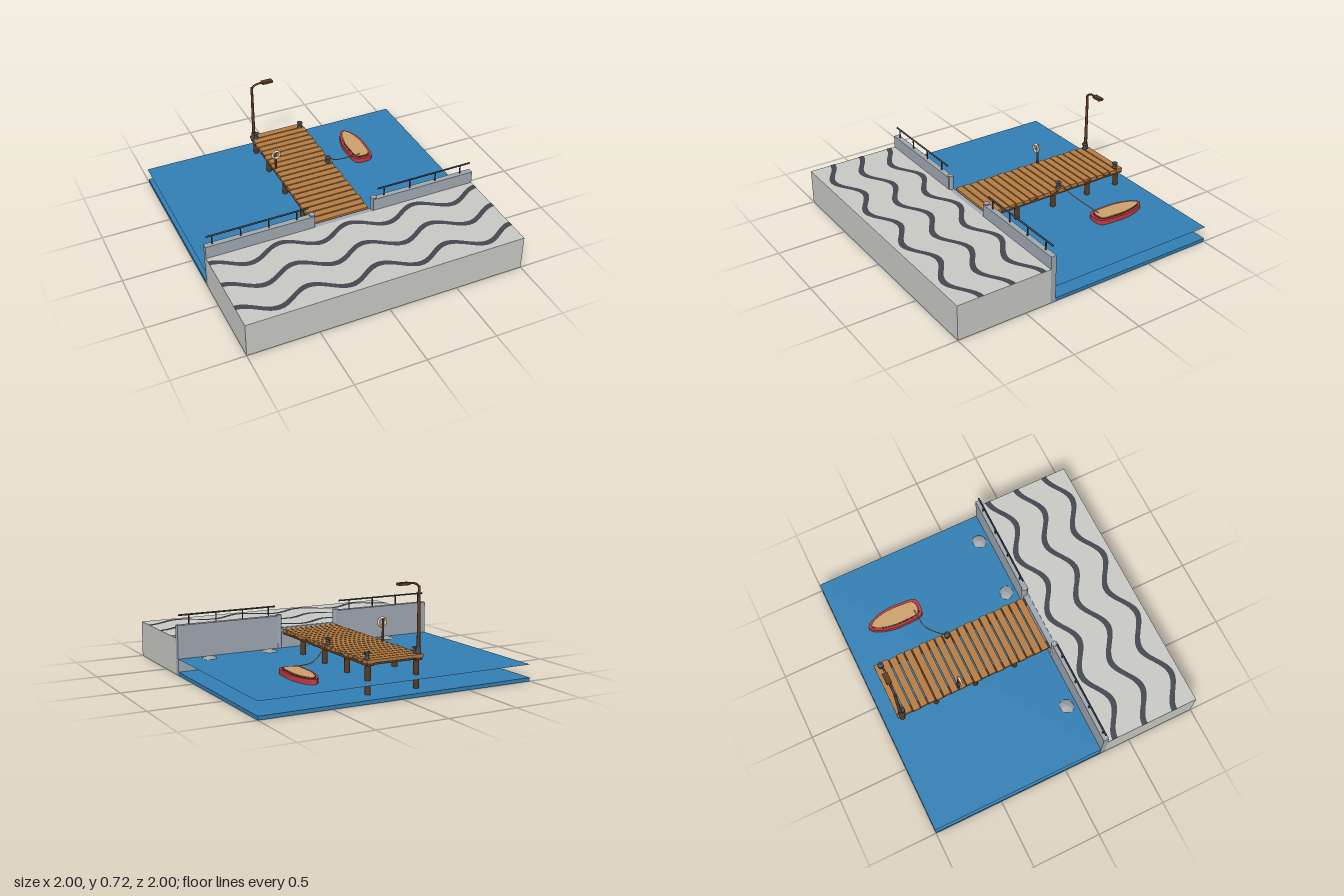
import * as THREE from 'three';

const mat = (name, color, extra = {}) => Object.assign(new THREE.MeshStandardMaterial({ color, ...extra }), { name });

export function createModel() {
  const model = new THREE.Group();
  model.name = 'harbourPier';
  const M = {
    paving: mat('paving', 0xc9c9c6),
    wall: mat('wall grey', 0xa0a8b1),
    iron: mat('dark iron', 0x434750, { side: THREE.DoubleSide }),
    water: mat('water blue', 0x3180b4, { side: THREE.DoubleSide }),
    plank: mat('plank wood', 0xb67c42),
    timber: mat('dark timber', 0x5b3a20),
    red: mat('boat red', 0xc23a42),
    tan: mat('tan', 0xcda26c),
    white: mat('white', 0xe8e4dc),
    rock: mat('rock grey', 0x9b9fa4, { flatShading: true }),
  };
  const add = (name, geo, material, x = 0, y = 0, z = 0, parent = model) => {
    const mesh = new THREE.Mesh(geo, material);
    mesh.name = name;
    mesh.position.set(x, y, z);
    parent.add(mesh);
    return mesh;
  };
  // Box given by its minimum and maximum corners
  const box = (name, m, x0, x1, y0, y1, z0, z1) =>
    add(name, new THREE.BoxGeometry(x1 - x0, y1 - y0, z1 - z0), m, (x0 + x1) / 2, (y0 + y1) / 2, (z0 + z1) / 2);
  // Upright cylinder standing on y0
  const column = (name, m, r, x, z, y0, y1, rTop = r, n = 12) =>
    add(name, new THREE.CylinderGeometry(rTop, r, y1 - y0, n), m, x, (y0 + y1) / 2, z);
  const tube = (name, m, r, pts, n = 20) =>
    add(name, new THREE.TubeGeometry(new THREE.CatmullRomCurve3(pts.map(p => new THREE.Vector3(...p))), n, r, 8), m);

  // Promenade, sea bed slab and water surface
  box('promenade', M.paving, -1, 1, 0, 0.255, 0.31, 1);
  box('seaBed', M.water, -1, 1, 0, 0.025, -1, 0.27);
  add('waterSurface', new THREE.PlaneGeometry(2, 1.27).rotateX(-Math.PI / 2), M.water, 0, 0.115, -0.365);

  // Wavy paving bands
  for (const zc of [0.42, 0.652, 0.884]) {
    const pts = [], N = 96;
    const wave = x => zc - 0.055 * Math.cos(4 * Math.PI * x);
    for (let i = 0; i <= N; i++) {
      const x = -1 + (2 * i) / N;
      pts.push(new THREE.Vector2(x, -wave(x) + 0.021));
    }
    for (let i = N; i >= 0; i--) {
      const x = -1 + (2 * i) / N;
      pts.push(new THREE.Vector2(x, -wave(x) - 0.021));
    }
    add('wavyBand', new THREE.ShapeGeometry(new THREE.Shape(pts)).rotateX(-Math.PI / 2), M.iron, 0, 0.2575, 0);
  }

  // Sea wall with end posts and railings
  box('threshold', M.wall, -0.22, 0.22, 0, 0.25, 0.27, 0.31);
  for (const s of [-1, 1]) {
    box('seaWall', M.wall, Math.min(s * 0.22, s), Math.max(s * 0.22, s), 0, 0.347, 0.27, 0.31);
    column('wallEndPost', M.wall, 0.021, s * 0.232, 0.286, 0, 0.355, 0.021, 16);
    for (const x of [0.31, 0.51, 0.71, 0.91])
      column('railPost', M.iron, 0.005, s === 1 ? x : -x - 0.035, 0.288, 0.345, 0.415, 0.005, 8);
    const rail = new THREE.CylinderGeometry(0.006, 0.006, 0.725, 8).rotateZ(Math.PI / 2);
    add('handRail', rail, M.iron, s * 0.6225, 0.415, 0.288);
  }

  // Pier deck, beams and piles
  const count = 20, pitch = 1.17 / count;
  for (let i = 0; i < count; i++) {
    const z = -0.905 + pitch * i, shift = 0.004 * Math.sin(i * 2.3);
    box('plank', M.plank, -0.21 + shift, 0.208 + shift, 0.232, 0.252, z, z + pitch - 0.009);
  }
  for (const x of [-0.18, 0.18]) {
    box('deckBeam', M.timber, x - 0.025, x + 0.025, 0.214, 0.237, -0.905, 0.27);
    for (const z of [0.005, -0.305, -0.61, -0.87]) column('pile', M.timber, 0.019, x, z, 0, 0.23);
  }
  for (const z of [0.005, -0.305, -0.61, -0.87]) box('crossBeam', M.timber, -0.2, 0.2, 0.214, 0.232, z - 0.012, z + 0.012);

  // Mooring bollards
  for (const [x, z] of [[-0.18, -0.86], [0.18, -0.86], [0.18, -0.35]]) {
    const profile = [[0, 0], [0.019, 0], [0.019, 0.006], [0.013, 0.01], [0.013, 0.03], [0.021, 0.035], [0.021, 0.042], [0, 0.045]];
    add('bollard', new THREE.LatheGeometry(profile.map(p => new THREE.Vector2(...p)), 14), M.iron, x, 0.252, z);
  }

  // Street lamp at the pier end
  column('lampBase', M.iron, 0.02, -0.19, -0.877, 0.25, 0.3, 0.015);
  column('lampPost', M.timber, 0.012, -0.19, -0.877, 0.29, 0.69, 0.009);
  tube('lampArm', M.timber, 0.007, [[-0.19, 0.675, -0.877], [-0.178, 0.695, -0.877], [-0.15, 0.708, -0.877], [-0.1, 0.711, -0.877]]);
  box('lampHead', M.timber, -0.11, -0.03, 0.701, 0.718, -0.896, -0.858);

  // Life ring with alternating bands on a short post
  column('ringPost', M.timber, 0.008, -0.195, -0.436, 0.25, 0.405);
  const ring = new THREE.Group();
  ring.name = 'lifeRing';
  ring.position.set(-0.195, 0.38, -0.422);
  model.add(ring);
  for (let i = 0; i < 8; i++) {
    const part = add('ringBand', new THREE.TorusGeometry(0.028, 0.009, 8, 5, Math.PI / 4), i % 2 ? M.white : M.tan, 0, 0, 0, ring);
    part.rotation.z = (i * Math.PI) / 4 + Math.PI / 8;
  }

  // Rowing boat: hull, rim and floor share one outline
  const half = [[0.035, -0.2], [0.065, -0.182], [0.079, -0.07], [0.078, 0.03], [0.058, 0.12], [0.028, 0.18]];
  const outline = (sx, sz) => {
    const pts = [...half, [0, 0.2], ...half.map(([x, y]) => [-x, y]).reverse()].map(([x, y]) => new THREE.Vector3(x * sx, y * sz, 0));
    const curve = new THREE.CatmullRomCurve3(pts, true);
    return new THREE.Shape(curve.getPoints(56).map(p => new THREE.Vector2(p.x, p.y)));
  };
  const boat = new THREE.Group();
  boat.name = 'boat';
  boat.position.set(0.519, 0, -0.615);
  boat.rotation.y = -0.02;
  model.add(boat);
  const layer = (name, m, sx, sz, y, depth) =>
    add(name, new THREE.ExtrudeGeometry(outline(sx, sz), { depth, bevelEnabled: false }).rotateX(-Math.PI / 2), m, 0, y, 0, boat);
  layer('hull', M.red, 1.02, 1, 0.087, 0.063);
  layer('innerRim', M.timber, 0.83, 0.91, 0.149, 0.004);
  layer('boatFloor', M.tan, 0.74, 0.86, 0.15, 0.007);

  // Mooring rope
  tube('rope', M.tan, 0.0035, [[0.185, 0.285, -0.36], [0.26, 0.215, -0.405], [0.35, 0.168, -0.453], [0.43, 0.158, -0.463], [0.5, 0.16, -0.467]], 24);

  // Boulders at the foot of the wall
  for (const [x, turn] of [[-0.615, 0.6], [0.345, -0.6], [0.8, 0.6]]) {
    const boulder = add('boulder', new THREE.IcosahedronGeometry(1, 1), M.rock, x, 0.08, 0.2);
    boulder.scale.set(0.075, 0.056, 0.066);
    boulder.rotation.y = turn;
  }
  return model;
}
